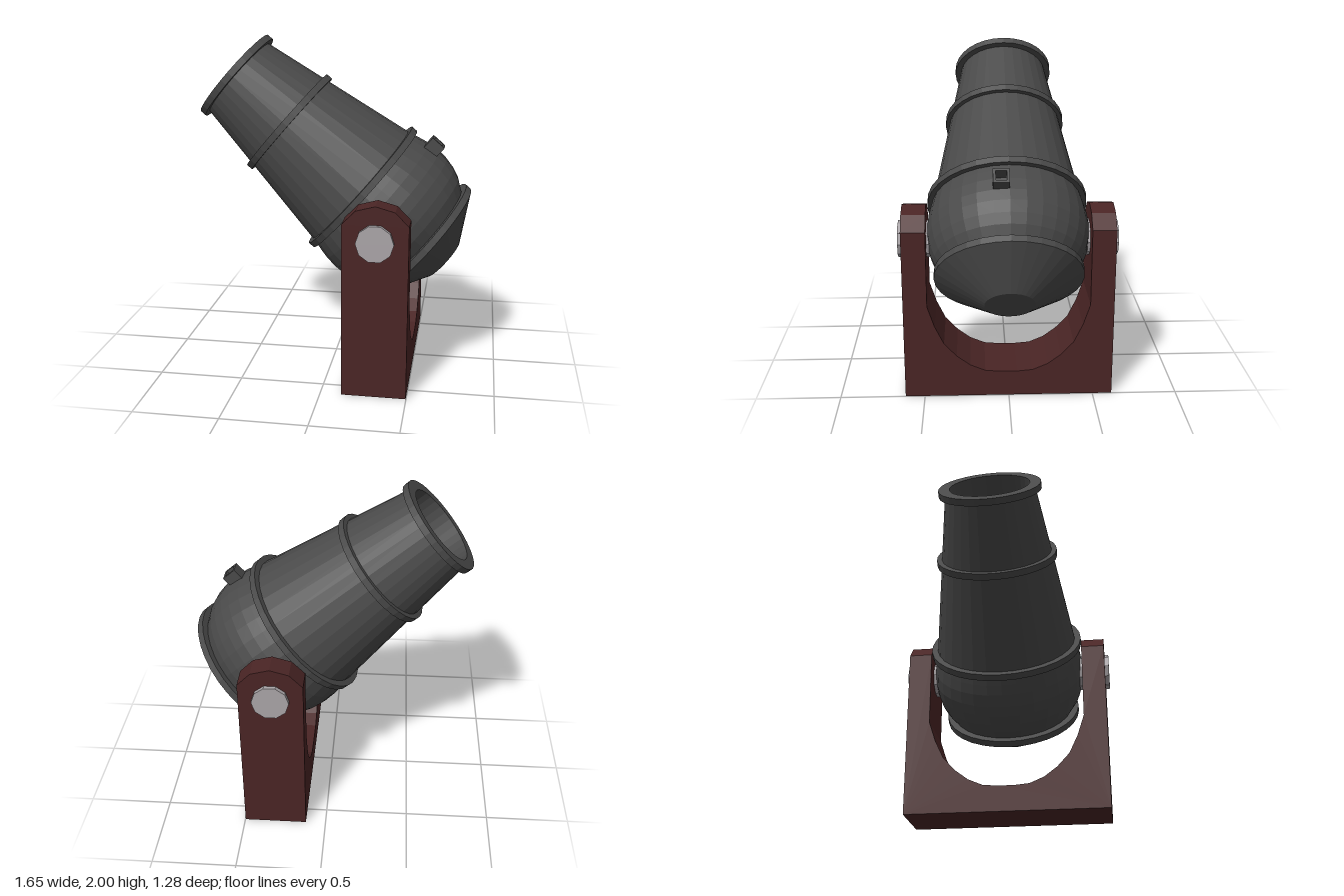
import * as THREE from 'three';

const iron = new THREE.MeshStandardMaterial({ color: 0x4a4a4a, flatShading: true });
const wood = new THREE.MeshStandardMaterial({ color: 0x4a2525, flatShading: true });
const steel = new THREE.MeshStandardMaterial({ color: 0xaaa5a8, flatShading: true });

function addMesh(parent, name, geometry, material) {
  const mesh = new THREE.Mesh(geometry, material);
  mesh.name = name;
  parent.add(mesh);
  return mesh;
}

// Turned part: pairs of radius and distance behind the muzzle, listed breech to muzzle
function turned(pairs) {
  return new THREE.LatheGeometry(pairs.map(([r, s]) => new THREE.Vector2(r, -s)), 32);
}

function extrude(shape, depth) {
  return new THREE.ExtrudeGeometry(shape, { depth, bevelEnabled: false });
}

function polygon(points) {
  return new THREE.Shape(points.map(([x, y]) => new THREE.Vector2(x, y)));
}

function createBarrel() {
  const barrel = new THREE.Group();
  barrel.name = 'barrel';

  // Bulging chamber, tapering tube and hollow bore in one profile
  addMesh(barrel, 'tube', turned([
    [0.385, 1.5], [0.432, 1.43], [0.456, 1.37], [0.471, 1.3], [0.475, 1.235],
    [0.468, 1.16], [0.455, 1.1], [0.438, 1.03], [0.268, 0.02], [0.268, 0],
    [0.24, 0], [0.24, 1.0], [0, 1.0],
  ]), iron);

  // Breech flange with its blunt cone
  addMesh(barrel, 'breech', turned([
    [0, 1.706], [0.145, 1.706], [0.43, 1.537], [0.43, 1.497], [0.3, 1.497],
  ]), iron);

  // Raised bands
  const bands = [
    ['muzzleBand', 0.307, 0.24, 0],
    ['middleBand', 0.367, 0.32, 0.423],
    ['chamberBand', 0.474, 0.42, 1.018],
  ];
  for (const [name, outer, inner, s] of bands) {
    addMesh(barrel, name, turned([
      [inner, s + 0.04], [outer, s + 0.04], [outer, s], [inner, s],
    ]), iron);
  }

  // Square hollow vent on top of the chamber
  const square = (h) => [[-h, -h], [h, -h], [h, h], [-h, h]];
  const ventShape = polygon(square(0.046));
  ventShape.holes.push(polygon(square(0.03)));
  const vent = addMesh(barrel, 'vent', extrude(ventShape, 0.11), iron);
  vent.rotation.y = Math.PI / 2;
  vent.position.set(0.422, -1.186, 0.047);

  barrel.rotation.z = 0.859;
  barrel.position.set(-0.625, 1.767, 0);
  return barrel;
}

function createCradle() {
  const cradle = new THREE.Group();
  cradle.name = 'cradle';
  const midX = 0.31, halfX = 0.188, innerZ = 0.475, outerZ = 0.615, shoulderY = 1.03;

  // U-shaped frame with a rounded hollow
  const curve = [
    [innerZ, shoulderY], [innerZ, 0.575], [0.434, 0.45], [0.381, 0.339],
    [0.307, 0.259], [0.228, 0.2], [0.14, 0.163], [0.05, 0.155],
  ];
  const mirrored = curve.map(([z, y]) => [-z, y]).reverse();
  const frame = addMesh(cradle, 'frame', extrude(polygon([
    [-outerZ, shoulderY], [-outerZ, 0], [outerZ, 0], [outerZ, shoulderY],
    ...curve, ...mirrored,
  ]), 2 * halfX), wood);
  frame.rotation.y = Math.PI / 2;
  frame.position.x = midX - halfX;

  // Arched top and pivot bolt on each upright
  const arch = polygon([
    [-halfX, 0], [halfX, 0], [0.11, 0.08], [0, 0.11], [-0.11, 0.08],
  ]);
  for (const side of [1, -1]) {
    const cap = addMesh(cradle, 'archedTop', extrude(arch, outerZ - innerZ), wood);
    cap.position.set(midX, shoulderY, side > 0 ? innerZ : -outerZ);

    const bolt = addMesh(cradle, 'pivotBolt', new THREE.CylinderGeometry(0.108, 0.108, 0.22, 10), steel);
    bolt.rotation.set(Math.PI / 2, Math.PI / 10, 0, 'XYZ');
    bolt.position.set(midX, 0.93, side * 0.53);
  }
  return cradle;
}

export function createModel() {
  const model = new THREE.Group();
  model.name = 'mortar';
  model.add(createBarrel(), createCradle());
  return model;
}
